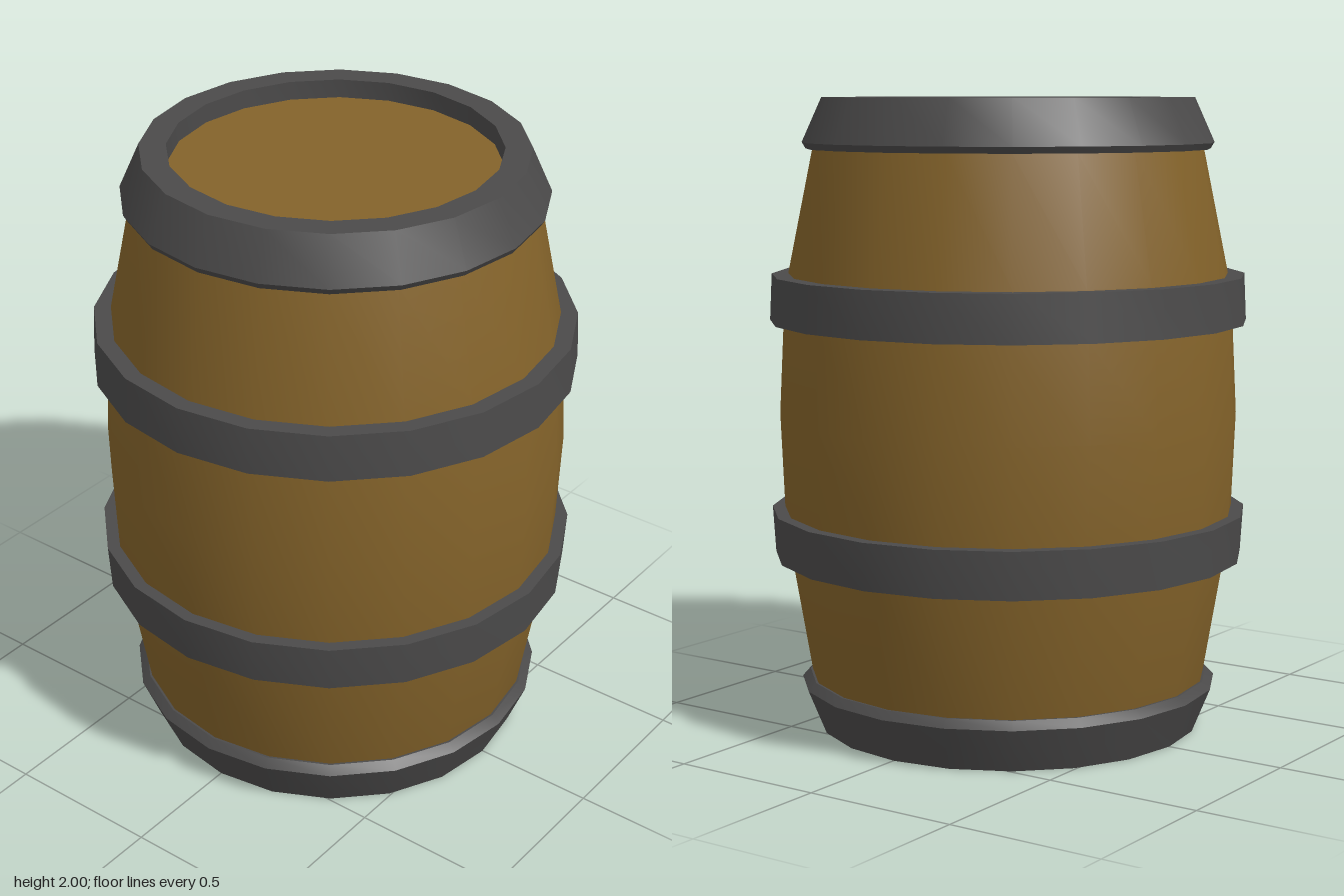
import * as THREE from 'three';
import { toCreasedNormals } from 'three/addons/utils/BufferGeometryUtils.js';

const SIDES = 20;
const wood = new THREE.MeshStandardMaterial({ color: 0x84632a });
const iron = new THREE.MeshStandardMaterial({ color: 0x4b4a4a });

// Spin a [radius, height] profile, smooth around and sharp at the corners
function turned(name, profile, material) {
  const points = profile.map(([r, y]) => new THREE.Vector2(r, y));
  const geometry = toCreasedNormals(new THREE.LatheGeometry(points, SIDES), 0.6);
  const mesh = new THREE.Mesh(geometry, material);
  mesh.name = name;
  return mesh;
}

// Closed ring: profile runs up the outside and back down the inside
const ring = (name, profile) => turned(name, [...profile, profile[0]], iron);

function head(name, radius, bottom, top) {
  const mesh = new THREE.Mesh(new THREE.CylinderGeometry(radius, radius, top - bottom, SIDES), wood);
  mesh.position.y = (bottom + top) / 2;
  mesh.name = name;
  return mesh;
}

export function createModel() {
  const barrel = new THREE.Group();
  barrel.name = 'barrel';

  // Bulging staves
  barrel.add(turned('staves', [
    [0.61, 0.08], [0.635, 0.165], [0.7, 0.55], [0.717, 0.7], [0.729, 1.0],
    [0.714, 1.3], [0.697, 1.45], [0.617, 1.84], [0.6, 1.9],
  ], wood));

  // Recessed flat ends
  barrel.add(head('bottomHead', 0.54, 0.06, 0.1), head('topHead', 0.53, 1.9, 1.94));

  // Heavy end rims, open in the middle
  barrel.add(ring('bottomRim', [
    [0.525, 0], [0.61, 0], [0.667, 0.14], [0.642, 0.165], [0.6, 0.165], [0.525, 0.12],
  ]));
  barrel.add(ring('topRim', [
    [0.505, 1.88], [0.59, 1.84], [0.638, 1.84], [0.65, 1.86], [0.587, 2], [0.505, 2],
  ]));

  // Hoops around the belly
  barrel.add(ring('lowerHoop', [[0.68, 0.552], [0.748, 0.552], [0.757, 0.7], [0.69, 0.7]]));
  barrel.add(ring('upperHoop', [[0.69, 1.3], [0.757, 1.3], [0.75, 1.447], [0.68, 1.447]]));

  return barrel;
}
